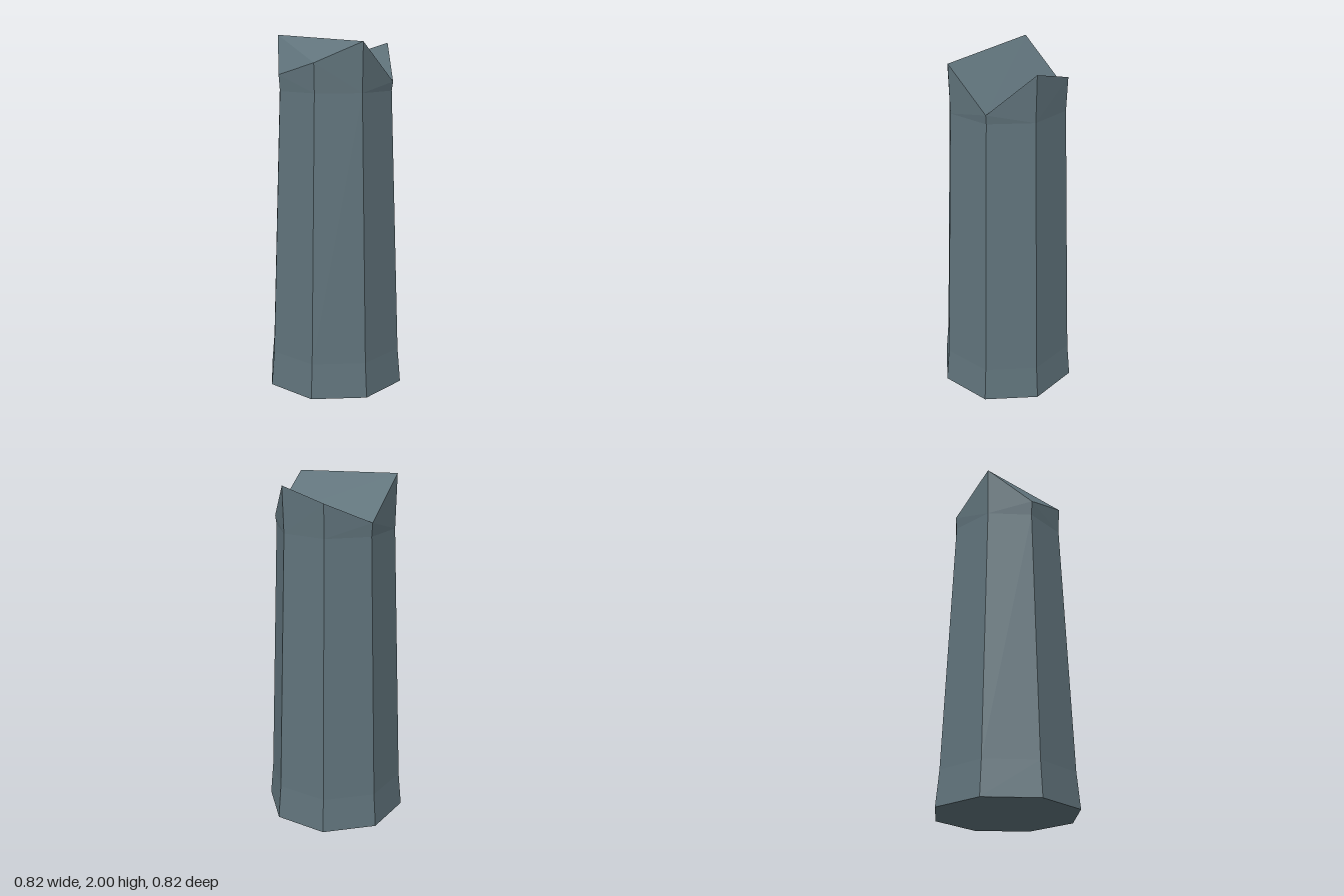
import * as THREE from 'three';

const SIDES = 8;

// One ring of corners; y is a number or one height per corner.
function ring(radius, y) {
  return Array.from({ length: SIDES }, (_, i) => {
    const a = (i / SIDES) * Math.PI * 2;
    return new THREE.Vector3(radius * Math.cos(a), Array.isArray(y) ? y[i] : y, radius * Math.sin(a));
  });
}

// Wall between two rings, each quad split along its shorter diagonal.
function band(lo, hi) {
  const tris = [];
  for (let i = 0; i < SIDES; i++) {
    const j = (i + 1) % SIDES;
    if (hi[i].y <= hi[j].y) tris.push(lo[i], hi[i], lo[j], hi[i], hi[j], lo[j]);
    else tris.push(lo[i], hi[i], hi[j], lo[i], hi[j], lo[j]);
  }
  return tris;
}

function facetedMesh(name, points, material) {
  const geometry = new THREE.BufferGeometry().setFromPoints(points);
  geometry.computeVertexNormals();
  const mesh = new THREE.Mesh(geometry, material);
  mesh.name = name;
  return mesh;
}

export function createModel() {
  const stone = new THREE.MeshStandardMaterial({ color: 0x60737b, flatShading: true });
  stone.name = 'slate stone';

  const base = ring(0.408, 0);
  const foot = ring(0.39, 0.2);
  const neck = ring(0.333, 1.7);
  const crown = ring(0.34, [1.955, 1.75, 1.97, 1.86, 1.79, 2.0, 1.775, 1.885]);

  // Underside fan
  const underside = [];
  for (let i = 1; i < SIDES - 1; i++) underside.push(base[0], base[i], base[i + 1]);

  // Jagged fracture surface, folded along the ridge and the valley
  const fracture = [
    [5, 4, 3], [5, 3, 2], [5, 2, 1], [5, 1, 6], [6, 1, 7], [7, 1, 0],
  ].flat().map((i) => crown[i]);

  const group = new THREE.Group();
  group.name = 'brokenPillar';
  group.add(
    facetedMesh('underside', underside, stone),
    facetedMesh('foot', band(base, foot), stone),
    facetedMesh('shaft', band(foot, neck), stone),
    facetedMesh('brokenRim', band(neck, crown), stone),
    facetedMesh('fracturedTop', fracture, stone),
  );
  return group;
}
